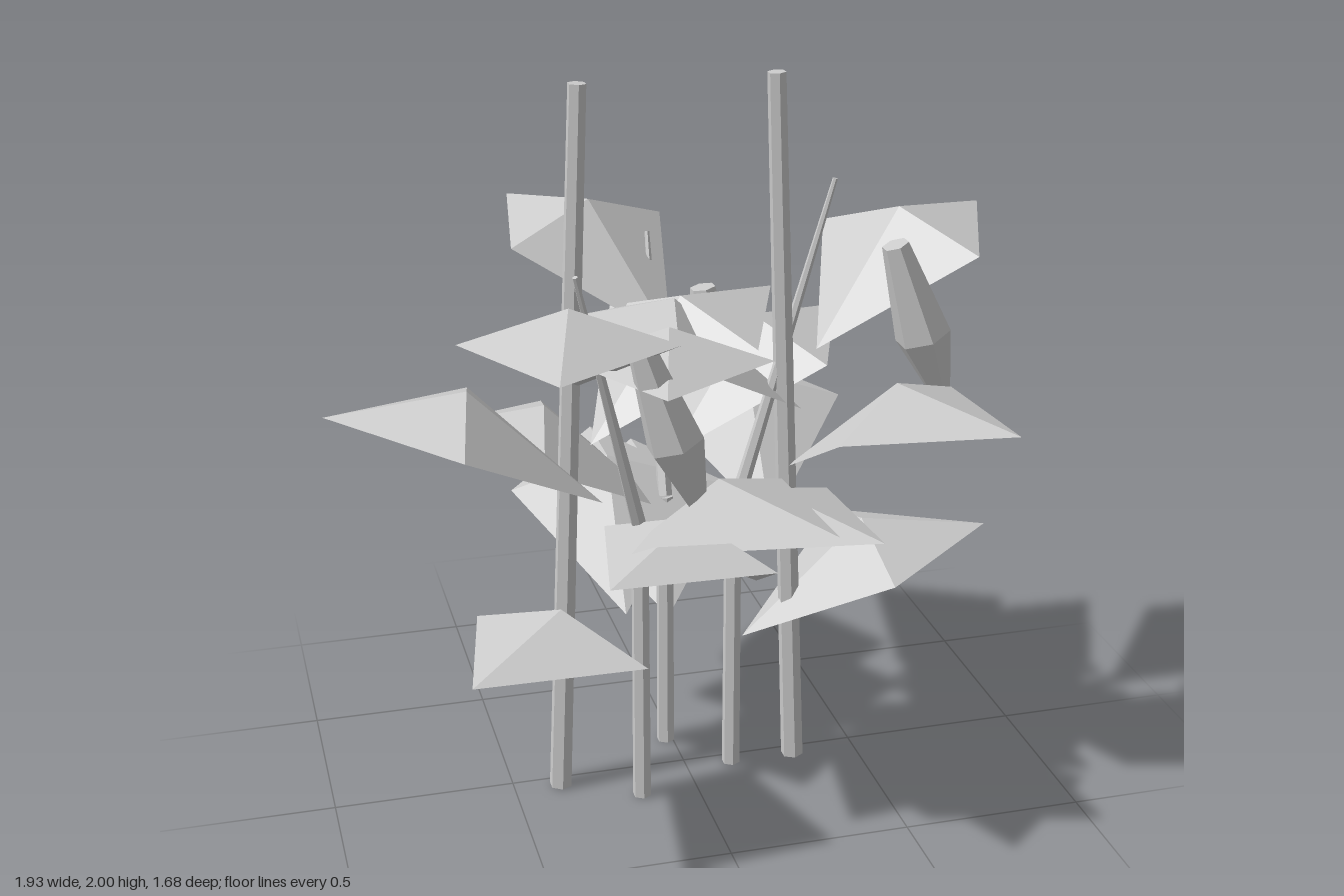
import * as THREE from 'three';

const material = new THREE.MeshStandardMaterial({ color: 0xcccccc, flatShading: true });
const leafMaterial = new THREE.MeshStandardMaterial({
  color: 0xcccccc, flatShading: true, side: THREE.DoubleSide,
});
const UP = new THREE.Vector3(0, 1, 0);
const vec = (p) => new THREE.Vector3(...p);

// Places an upright geometry (base at its origin) along the line from a to b
function along(name, geometry, a, b) {
  const mesh = new THREE.Mesh(geometry, material);
  mesh.name = name;
  mesh.position.copy(a);
  mesh.quaternion.setFromUnitVectors(UP, b.clone().sub(a).normalize());
  return mesh;
}

// Tapered six-sided rod between two points
function rod(name, from, to, r0, r1) {
  const a = vec(from), b = vec(to), h = a.distanceTo(b);
  return along(name, new THREE.CylinderGeometry(r1, r0, h, 6).translate(0, h / 2, 0), a, b);
}

// Hanging six-sided fruit, widest below its middle
function fruit(from, to) {
  const a = vec(from), b = vec(to), h = a.distanceTo(b);
  const profile = [[0, 0], [0.02, 0], [0.077, 0.43], [0.037, 1], [0, 1]]
    .map(([r, t]) => new THREE.Vector2(r, t * h));
  return along('fruit', new THREE.LatheGeometry(profile, 6), a, b);
}

// Folded kite leaf: base, two wings and tip around a raised apex, pointing along +x
function leafGeometry() {
  const base = [0, 0, 0], tip = [0.715, 0.265, 0], apex = [0.345, 0.325, 0];
  const left = [0.35, 0.235, -0.27], right = [0.35, 0.235, 0.27];
  const corners = [base, right, tip, left];
  const points = corners.flatMap((c, i) => [...c, ...corners[(i + 1) % 4], ...apex]);
  const geometry = new THREE.BufferGeometry();
  geometry.setAttribute('position', new THREE.Float32BufferAttribute(points, 3));
  geometry.computeVertexNormals();
  return geometry;
}

export function createModel() {
  const group = new THREE.Group();
  group.name = 'stakedPlants';

  // Two leaning support stakes
  group.add(rod('leftStake', [0.315, 0, 0.04], [0.235, 2, 0.04], 0.032, 0.025));
  group.add(rod('rightStake', [-0.37, 0, 0.04], [-0.285, 2, 0.04], 0.032, 0.025));

  // Each plant: foot, bend height, stem tip, sideways drift of its leaves, fruit ends
  const plants = [
    { x: 0.13, z: 0.04, bend: 0.78, top: [0.4, 1.71, 0.04], leafX: 0.16, drift: 0.04,
      fruit: [[0.695, 1.09, 0.13], [0.54, 1.545, 0.13]] },
    { x: -0.16, z: 0.15, bend: 0.82, top: [-0.36, 1.59, 0.33], leafX: -0.17, drift: -0.03,
      fruit: [[-0.07, 0.98, 0.43], [-0.22, 1.43, 0.43]] },
    { x: -0.02, z: -0.13, bend: 0.78, top: [0, 1.47, -0.4], leafX: -0.01, drift: 0.002,
      fruit: [[0.21, 0.85, -0.3], [0.14, 1.32, -0.32]] },
  ];
  const leafShape = leafGeometry();
  const golden = THREE.MathUtils.degToRad(137.5);

  plants.forEach((p, n) => {
    const plant = new THREE.Group();
    plant.name = 'plant';
    const bend = [p.x, p.bend, p.z];
    plant.add(rod('lowerStem', [p.x, 0, p.z], bend, 0.026, 0.024));
    plant.add(rod('upperStem', bend, p.top, 0.022, 0.007));
    plant.add(fruit(...p.fruit));

    // Six leaves climbing in a golden-angle spiral
    for (let i = 0; i < 6; i++) {
      const leaf = new THREE.Mesh(leafShape, leafMaterial);
      leaf.name = 'leaf';
      leaf.position.set(p.leafX + p.drift * i, 0.4 + 0.168 * i, p.z);
      leaf.rotation.y = -golden * (n + i);
      plant.add(leaf);
    }
    group.add(plant);
  });
  return group;
}
